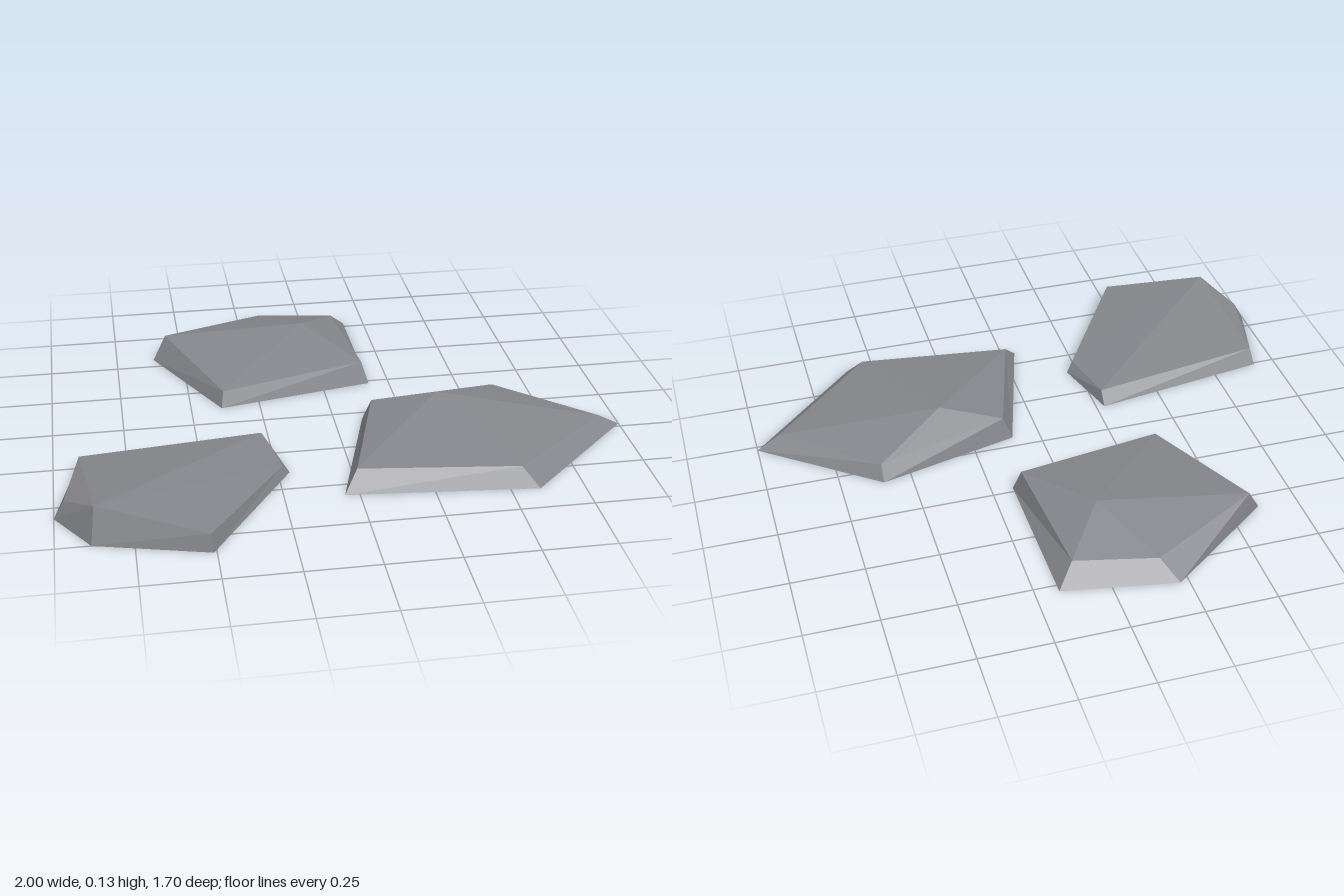
import * as THREE from 'three';

// Each stone: ground outline [x, z], bevelled upper rim [x, y, z] and the summit where the top facets meet.
// Outlines run clockwise as seen from above.
const STONES = [
  {
    name: 'backStone',
    base: [[-0.61, -0.56], [-0.22, -0.85], [0.17, -0.78], [0.175, -0.23], [-0.39, -0.115]],
    rim: [[-0.56, 0.088, -0.585], [-0.17, 0.06, -0.78], [0.11, 0.065, -0.72], [0.15, 0.082, -0.25], [-0.38, 0.055, -0.14]],
    peak: [-0.035, 0.13, -0.525],
  },
  {
    name: 'leftStone',
    base: [[0.10, 0.05], [0.60, -0.075], [1.0, 0.23], [0.60, 0.63], [-0.05, 0.57]],
    rim: [[0.13, 0.082, 0.065], [0.60, 0.055, -0.04], [0.92, 0.045, 0.24], [0.545, 0.065, 0.585], [0, 0.065, 0.515]],
    peak: [0.35, 0.13, 0.13],
  },
  {
    name: 'rightStone',
    base: [[-0.92, 0.24], [-0.28, 0.14], [-0.21, 0.39], [-0.51, 0.85], [-0.885, 0.75], [-1.0, 0.57]],
    rim: [[-0.91, 0.057, 0.27], [-0.28, 0.046, 0.18], [-0.235, 0.036, 0.405], [-0.515, 0.063, 0.838], [-0.87, 0.123, 0.715], [-0.965, 0.064, 0.57]],
    peak: [-0.87, 0.123, 0.715], // summit sits on the rim
  },
];

// Closed faceted stone: sloped sides, fanned top and flat underside
function stoneGeometry({ base, rim, peak }) {
  const n = base.length;
  const ground = base.map(([x, z]) => [x, 0, z]);
  const same = (a, b) => a.every((v, i) => v === b[i]);
  const positions = [];
  const tri = (a, b, c) => {
    if (!same(a, b) && !same(b, c) && !same(a, c)) positions.push(...a, ...b, ...c);
  };
  for (let i = 0; i < n; i++) {
    const j = (i + 1) % n;
    tri(ground[j], ground[i], rim[i]);
    tri(ground[j], rim[i], rim[j]);
    tri(peak, rim[j], rim[i]);
    tri(ground[0], ground[i], ground[j]);
  }
  const geometry = new THREE.BufferGeometry();
  geometry.setAttribute('position', new THREE.Float32BufferAttribute(positions, 3));
  geometry.computeVertexNormals();
  return geometry;
}

export function createModel() {
  const group = new THREE.Group();
  group.name = 'flatStones';
  const stone = new THREE.MeshStandardMaterial({ color: 0x85868b });
  stone.name = 'stoneGrey';
  stone.flatShading = true;
  for (const spec of STONES) {
    const mesh = new THREE.Mesh(stoneGeometry(spec), stone);
    mesh.name = spec.name;
    group.add(mesh);
  }
  return group;
}
